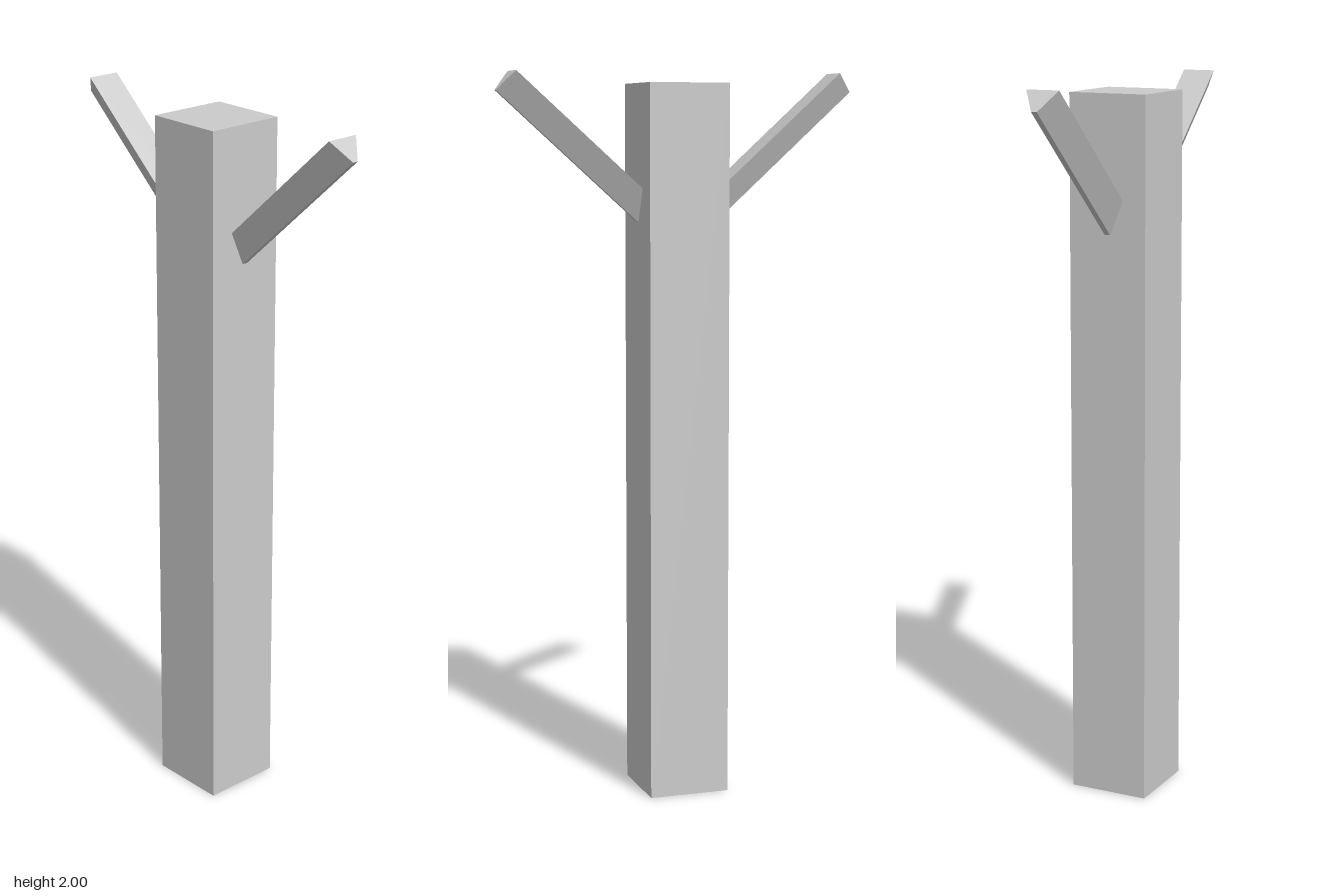
import * as THREE from 'three';

export function createModel() {
  const model = new THREE.Group();
  const material = new THREE.MeshStandardMaterial({ color: 0xcccccc, flatShading: true });

  // Square upright post
  const height = 1.97, width = 0.226;
  const post = new THREE.Mesh(new THREE.BoxGeometry(width, height, width), material);
  post.name = 'post';
  post.position.y = height / 2;
  model.add(post);

  // Arm section: wide flat top narrowing to a thin lower edge
  const section = new THREE.Shape([
    new THREE.Vector2(-0.047, 0),
    new THREE.Vector2(-0.008, -0.069),
    new THREE.Vector2(0.008, -0.069),
    new THREE.Vector2(0.047, 0),
  ]);
  const length = 0.56;
  const armGeometry = new THREE.ExtrudeGeometry(section, { depth: length, bevelEnabled: false });

  // Two arms rising outward from inside the post
  const angle = THREE.MathUtils.degToRad(41.9);
  const c = Math.cos(angle), s = Math.sin(angle);
  for (const side of [1, -1]) {
    const along = new THREE.Vector3(side * c, s, 0);
    const up = new THREE.Vector3(-side * s, c, 0);
    const across = new THREE.Vector3().crossVectors(up, along);
    const arm = new THREE.Mesh(armGeometry, material);
    arm.name = side > 0 ? 'leftArm' : 'rightArm';
    arm.quaternion.setFromRotationMatrix(new THREE.Matrix4().makeBasis(across, up, along));
    arm.position.set(side * 0.461, 2, 0).addScaledVector(along, -length);
    model.add(arm);
  }
  return model;
}
